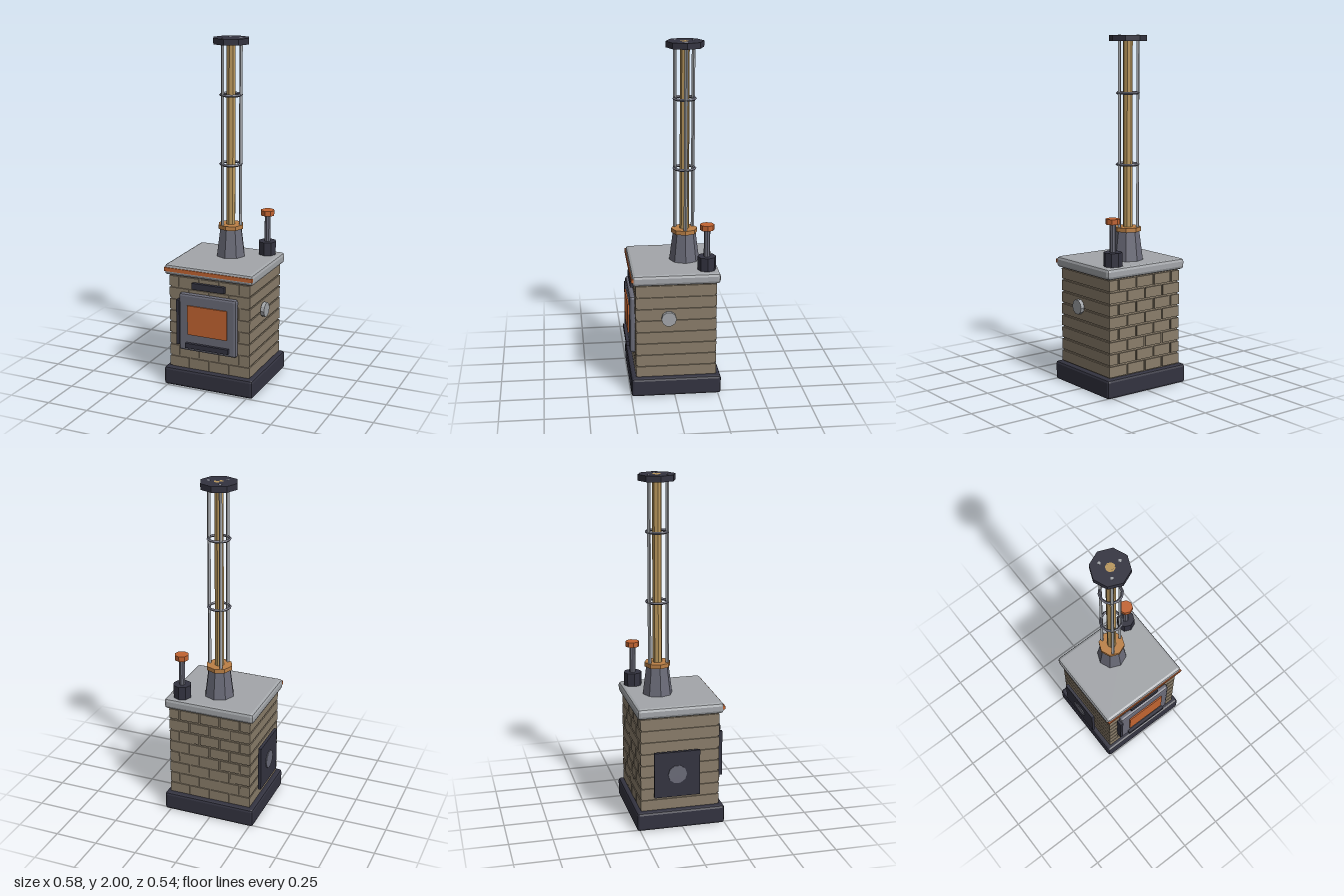
import * as THREE from 'three';
import { RoundedBoxGeometry } from 'three/addons/geometries/RoundedBoxGeometry.js';

const paint = (name, color) => {
  const m = new THREE.MeshStandardMaterial({ color, flatShading: true });
  m.name = name;
  return m;
};

export function createModel() {
  const model = new THREE.Group();
  model.name = 'stove';

  const brick = paint('brick', 0x8a7d6a);
  const dark = paint('dark iron', 0x333340);
  const iron = paint('grey iron', 0x6a6b78);
  const steel = paint('steel', 0xa3a6aa);
  const orange = paint('orange', 0xc26431);
  const copper = paint('copper', 0xbb8046);
  const brass = paint('brass', 0xb8965c);

  const add = (name, geometry, material, x, y, z, parent = model) => {
    const mesh = new THREE.Mesh(geometry, material);
    mesh.name = name;
    mesh.position.set(x, y, z);
    parent.add(mesh);
    return mesh;
  };
  // Box given by its limits; a bevel above zero chamfers all edges
  const box = (name, material, [x0, x1], [y0, y1], [z0, z1], bevel = 0, parent = model) => {
    const size = [x1 - x0, y1 - y0, z1 - z0];
    const geometry = bevel
      ? new RoundedBoxGeometry(...size, 1, bevel)
      : new THREE.BoxGeometry(...size);
    return add(name, geometry, material, (x0 + x1) / 2, (y0 + y1) / 2, (z0 + z1) / 2, parent);
  };
  // Upright faceted cylinder between two heights
  const post = (name, material, rTop, rBottom, y0, y1, x, z, sides = 8, parent = model) =>
    add(name, new THREE.CylinderGeometry(rTop, rBottom, y1 - y0, sides), material, x, (y0 + y1) / 2, z, parent);

  // Plinth and lid
  box('base', dark, [-0.272, 0.286], [0, 0.11], [-0.268, 0.249], 0.015);
  box('lid', steel, [-0.267, 0.281], [0.672, 0.735], [-0.261, 0.241], 0.018);
  box('lidTrim', orange, [-0.265, 0.279], [0.696, 0.718], [0.232, 0.246]);

  // Brick body: a recessed core and staggered courses running front to back
  const x0 = -0.243, x1 = 0.257, bottom = 0.11, rows = 8, columns = 4, gap = 0.01;
  const pitch = (x1 - x0) / columns, course = 0.07;
  box('bodyCore', brick, [x0 + 0.007, x1 - 0.007], [0.1, 0.69], [-0.234, 0.213]);
  const bricks = new THREE.Group();
  bricks.name = 'bricks';
  model.add(bricks);
  for (let r = 0; r < rows; r++) {
    const shift = r % 2 ? -pitch / 2 : 0;
    for (let c = 0; c <= columns; c++) {
      const left = Math.max(x0, x0 + shift + c * pitch + gap / 2);
      const right = Math.min(x1, x0 + shift + (c + 1) * pitch - gap / 2);
      if (right - left < 0.02) continue;
      const a = c === 0 ? x0 : left;
      const b = right > x1 - gap ? x1 : right;
      const y = bottom + r * course;
      box('brick', brick, [a, b], [y + gap / 2, y + course - gap / 2], [-0.241, 0.22], 0, bricks);
    }
  }

  // Fire door with window, handle and hinge
  box('door', iron, [-0.172, 0.185], [0.233, 0.578], [0.21, 0.25], 0.014);
  box('window', orange, [-0.114, 0.13], [0.336, 0.511], [0.249, 0.258]);
  box('doorHandle', dark, [-0.125, 0.142], [0.257, 0.286], [0.245, 0.268]);
  box('hinge', dark, [-0.185, -0.166], [0.267, 0.537], [0.215, 0.255]);
  box('ventPlate', dark, [-0.093, 0.108], [0.606, 0.643], [0.215, 0.24]);

  // Side hatch and side knob
  box('sideHatch', dark, [-0.285, -0.267], [0.204, 0.474], [-0.17, 0.096]);
  const disc = (name, material, r, depth, x, y, z) => {
    add(name, new THREE.CylinderGeometry(r, r, depth, 10), material, x, y, z).rotation.z = Math.PI / 2;
  };
  disc('hatchVent', iron, 0.055, 0.006, -0.287, 0.34, -0.037);
  disc('sideKnob', steel, 0.043, 0.022, 0.273, 0.472, 0.033);

  // Chimney: tapered foot, collar, flue, guard rods, rings and cap
  const cx = 0.008, cz = -0.083;
  const chimney = new THREE.Group();
  chimney.name = 'chimney';
  model.add(chimney);
  post('chimneyFoot', iron, 0.066, 0.088, 0.73, 0.9, cx, cz, 8, chimney);
  post('collar', copper, 0.076, 0.076, 0.9, 0.924, cx, cz, 8, chimney);
  post('flue', brass, 0.027, 0.027, 0.9, 2, cx, cz, 8, chimney);
  for (let i = 0; i < 3; i++) {
    const a = (i * Math.PI * 2) / 3;
    post('guardRod', steel, 0.01, 0.01, 0.9, 2.0005, cx + 0.06 * Math.cos(a), cz + 0.06 * Math.sin(a), 4, chimney);
  }
  for (const y of [1.28, 1.68]) {
    add('guardRing', new THREE.TorusGeometry(0.061, 0.008, 4, 12), iron, cx, y, cz, chimney).rotation.x = Math.PI / 2;
  }
  post('chimneyCap', dark, 0.107, 0.107, 1.966, 2, cx, cz, 8, chimney);

  // Small valve at the back corner of the lid
  const vx = 0.195, vz = -0.19;
  post('valveBase', dark, 0.053, 0.053, 0.73, 0.813, vx, vz);
  post('valveStem', iron, 0.018, 0.018, 0.8, 0.975, vx, vz);
  post('valveKnob', orange, 0.041, 0.041, 0.97, 1.0, vx, vz);

  return model;
}
